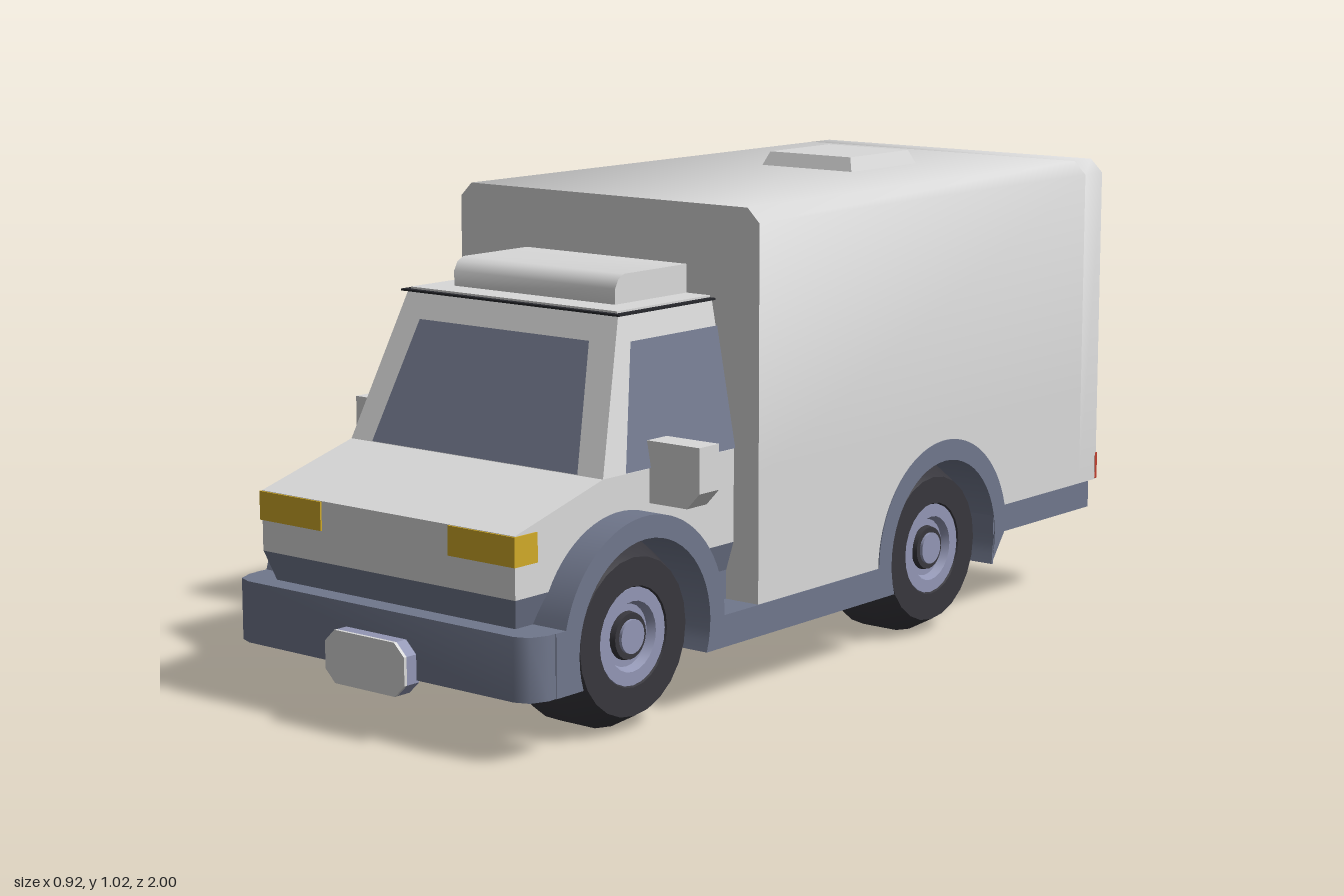
import * as THREE from 'three';
import { toCreasedNormals } from 'three/addons/utils/BufferGeometryUtils.js';

const mat = (name, color, double = false) => {
  const m = new THREE.MeshStandardMaterial({ color });
  m.name = name;
  if (double) m.side = THREE.DoubleSide;
  return m;
};

export function createModel() {
  const model = new THREE.Group();
  model.name = 'boxVan';
  const body = mat('bodyGrey', 0xd9d9d9);
  const trim = mat('trimBlueGrey', 0x70778c);
  const glass = mat('glassBlueGrey', 0x747b90, true);
  const rubber = mat('tyreBlack', 0x38373d);
  const metal = mat('hubLavender', 0x9296b4);
  const black = mat('gasketBlack', 0x25262b);
  const amber = mat('lampAmber', 0xd0aa28);
  const red = mat('lampRed', 0xc0402f);

  const add = (name, geo, material, parent = model) => {
    const mesh = new THREE.Mesh(geo, material);
    mesh.name = name;
    parent.add(mesh);
    return mesh;
  };
  const poly = (pts) => new THREE.Shape(pts.map((p) => new THREE.Vector2(...p)));
  const extrude = (shape, depth) =>
    new THREE.ExtrudeGeometry(shape, { depth, bevelEnabled: false, curveSegments: 16 });
  // side outline (z, y) swept from x0 to x1
  const alongX = (shape, x0, x1) =>
    extrude(shape, x1 - x0).rotateY(-Math.PI / 2).translate(x1, 0, 0);
  // front outline (x, y) swept from z0 to z1
  const alongZ = (shape, z0, z1) => extrude(shape, z1 - z0).translate(0, 0, z0);
  // plan outline (x, z) swept from y0 to y1
  const alongY = (pts, y0, y1) =>
    extrude(poly(pts.map(([x, z]) => [x, -z])), y1 - y0).rotateX(-Math.PI / 2).translate(0, y0, 0);
  const box = (x0, x1, y0, y1, z0, z1) =>
    new THREE.BoxGeometry(x1 - x0, y1 - y0, z1 - z0)
      .translate((x0 + x1) / 2, (y0 + y1) / 2, (z0 + z1) / 2);
  // tapered block; each end is [y, halfWidth, backZ, frontZ]
  const taper = (low, high) => {
    const geo = new THREE.BoxGeometry(2, 2, 2);
    const p = geo.attributes.position;
    for (let i = 0; i < p.count; i++) {
      const [y, w, zb, zf] = p.getY(i) > 0 ? high : low;
      p.setXYZ(i, p.getX(i) * w, y, p.getZ(i) > 0 ? zf : zb);
    }
    geo.computeVertexNormals();
    return geo;
  };
  const quad = (pts) => {
    const geo = new THREE.BufferGeometry().setFromPoints(pts.map((p) => new THREE.Vector3(...p)));
    geo.setIndex([0, 1, 2, 0, 2, 3]);
    geo.computeVertexNormals();
    return geo;
  };

  const axles = [0.64, -0.36];
  const hubY = 0.19;
  // clockwise wheel cut-out starting and ending at height y
  const notch = (s, z, r, y) => {
    const a = Math.asin((y - hubY) / r);
    s.lineTo(z - r * Math.cos(a), y);
    s.absarc(z, hubY, r, Math.PI - a, a, true);
  };

  // Chassis: fenders with arches, core, bumper and tail
  const fender = new THREE.Shape();
  fender.moveTo(-0.55, 0.125);
  notch(fender, -0.36, 0.195, 0.125);
  notch(fender, 0.64, 0.195, 0.125);
  fender.lineTo(0.9, 0.125);
  fender.lineTo(0.9, 0.25);
  fender.lineTo(0.872, 0.25);
  fender.absarc(0.64, hubY, 0.24, 0.2527, Math.PI, false);
  fender.absarc(-0.36, hubY, 0.24, 0, Math.PI - 0.2527, false);
  fender.lineTo(-0.592, 0.19);
  fender.lineTo(-0.55, 0.19);
  add('leftFenders', toCreasedNormals(alongX(fender, 0.185, 0.402), 0.6), trim);
  add('rightFenders', toCreasedNormals(alongX(fender, -0.402, -0.185), 0.6), trim);
  add('chassisCore', box(-0.19, 0.19, 0.125, 0.4, -0.55, 0.87), trim);
  add('frontBumper', toCreasedNormals(alongY([[-0.4, 0.87], [0.4, 0.87], [0.4, 0.92],
    [0.385, 0.955], [0.355, 0.967], [-0.355, 0.967], [-0.385, 0.955], [-0.4, 0.92]], 0.125, 0.25), 0.8), trim);
  add('rearBumper', alongY([[-0.4, -0.55], [-0.4, -0.94], [-0.37, -0.972],
    [0.37, -0.972], [0.4, -0.94], [0.4, -0.55]], 0.19, 0.25), trim);

  // Cargo box: notched lower half, bevelled upper half, open rear frame
  const lower = new THREE.Shape();
  lower.moveTo(-0.9, 0.25);
  notch(lower, -0.36, 0.21, 0.25);
  lower.lineTo(-0.15, 0.187);
  lower.lineTo(0.29, 0.187);
  lower.lineTo(0.29, 0.45);
  lower.lineTo(-0.9, 0.45);
  add('cargoLower', alongX(lower, -0.4, 0.4), body);
  const section = (y) => poly([[-0.4, y], [0.4, y], [0.4, 0.957], [0.37, 0.986], [-0.37, 0.986], [-0.4, 0.957]]);
  add('cargoUpper', toCreasedNormals(alongZ(section(0.45), -0.9, 0.29), 0.9), body);
  const frame = section(0.25);
  frame.holes.push(poly([[-0.345, 0.33], [-0.345, 0.925], [0.345, 0.925], [0.345, 0.33]]));
  add('rearFrame', toCreasedNormals(alongZ(frame, -0.97, -0.9), 0.9), body);
  add('roofHatch', taper([0.985, 0.123, -0.633, -0.39], [1.016, 0.11, -0.62, -0.403]), body);

  // Roller door with ridged slats
  const slats = [[-0.89, 0.33]];
  const count = 5, pitch = 0.595 / count;
  slats.push([-0.89, 0.925]);
  for (let i = count; i > 0; i--) {
    slats.push([-0.91, 0.33 + i * pitch], [-0.945, 0.33 + (i - 0.5) * pitch]);
  }
  slats.push([-0.91, 0.33]);
  add('rollerDoor', alongX(poly(slats.reverse()), -0.345, 0.345), trim);
  add('doorHandle', box(-0.065, 0.065, 0.385, 0.415, -0.965, -0.93), body);

  // Cab: hull with wheel cut-out, greenhouse, roof and air deflector
  const hull = new THREE.Shape();
  hull.moveTo(0.29, 0.31);
  notch(hull, 0.64, 0.21, 0.31);
  [[0.94, 0.31], [0.94, 0.432], [0.69, 0.5], [0.29, 0.5]].forEach((p) => hull.lineTo(...p));
  add('cabHull', alongX(hull, -0.337, 0.337), body);
  add('cabUpper', taper([0.5, 0.337, 0.29, 0.69], [0.797, 0.28, 0.29, 0.577]), body);
  add('roofGasket', box(-0.29, 0.29, 0.796, 0.8, 0.285, 0.588), black);
  add('cabRoof', box(-0.275, 0.275, 0.797, 0.804, 0.285, 0.575), body);
  const deflector = poly([[0.28, 0.8], [0.51, 0.8], [0.51, 0.835], [0.5, 0.853], [0.482, 0.862], [0.28, 0.862]]);
  add('airDeflector', toCreasedNormals(alongX(deflector, -0.215, 0.215), 0.9), body);
  add('frontValance', taper([0.245, 0.318, 0.85, 0.92], [0.311, 0.337, 0.85, 0.94]), trim);
  add('cabSill', taper([0.25, 0.318, 0.28, 0.42], [0.311, 0.337, 0.28, 0.45]), trim);
  add('cabStep', box(-0.318, 0.318, 0.18, 0.25, 0.28, 0.42), trim);

  // Glazing, just proud of the sloping cab panels
  const screenZ = (y) => 0.694 - ((y - 0.5) / 0.297) * 0.113;
  const sideX = (y) => 0.341 - ((y - 0.5) / 0.297) * 0.057;
  add('windscreen', quad([[-0.275, 0.502, screenZ(0.502)], [0.275, 0.502, screenZ(0.502)],
    [0.226, 0.745, screenZ(0.745)], [-0.226, 0.745, screenZ(0.745)]]), glass);

  // Mirrored details
  for (const s of [1, -1]) {
    const side = s > 0 ? 'left' : 'right';
    const span = (a, b) => (s > 0 ? [a, b] : [-b, -a]);
    const x0 = s * sideX(0.502), x1 = s * sideX(0.745);
    const win = [[x0, 0.502, 0.627], [x0, 0.502, 0.29], [x1, 0.745, 0.29], [x1, 0.745, 0.557]];
    add(side + 'Window', quad(s > 0 ? win : win.reverse()), glass);
    const mirror = [[0.32, 0.432], [0.43, 0.432], [0.461, 0.465], [0.461, 0.555], [0.32, 0.555]];
    add(side + 'Mirror', alongZ(poly(mirror.map(([x, y]) => [s * x, y])), 0.492, 0.552), body);
    add(side + 'Headlamp', box(...span(0.17, 0.34), 0.373, 0.431, 0.88, 0.944), amber);
    add(side + 'TailLamp', box(...span(0.28, 0.401), 0.252, 0.312, -0.974, -0.966), red);
    add(side + 'UnderPad', box(...span(0.095, 0.195), 0.12, 0.13, 0.4, 0.5), black);
  }

  // Bumper plates with a pale face
  const plate = poly([[-0.08, -0.053], [0.08, -0.053], [0.106, -0.028], [0.106, 0.028],
    [0.08, 0.053], [-0.08, 0.053], [-0.106, 0.028], [-0.106, -0.028]]);
  for (const [name, y, z, face] of [['front', 0.148, 0.96, 0.993], ['rear', 0.213, -0.993, -1]]) {
    add(name + 'PlateMount', alongZ(plate, z, z + 0.033).translate(0, y, 0), metal);
    add(name + 'Plate', alongZ(plate, face, face + 0.007).translate(0, y, 0), body);
  }

  // Wheels: lathed tyre and stepped hub, turned onto the x axis
  const lathe = (pts) => toCreasedNormals(
    new THREE.LatheGeometry(pts.map((p) => new THREE.Vector2(...p)), 24).rotateZ(-Math.PI / 2), 0.6);
  const tyre = lathe([[0, 0.185], [0.157, 0.185], [0.188, 0.225], [0.188, 0.312], [0.157, 0.37], [0.1, 0.37], [0.09, 0.345], [0, 0.345]]);
  const rim = lathe([[0.097, 0.34], [0.097, 0.367], [0.07, 0.367], [0.062, 0.35], [0, 0.35]]);
  const cup = lathe([[0.05, 0.34], [0.046, 0.362], [0.036, 0.362], [0, 0.355]]);
  const cap = lathe([[0.034, 0.34], [0.034, 0.368], [0, 0.368]]);
  for (const z of axles) {
    for (const s of [1, -1]) {
      const wheel = new THREE.Group();
      wheel.name = (z > 0 ? 'front' : 'rear') + (s > 0 ? 'Left' : 'Right') + 'Wheel';
      add('tyre', tyre, rubber, wheel);
      add('rim', rim, metal, wheel);
      add('hubRing', cup, rubber, wheel);
      add('hubCap', cap, metal, wheel);
      wheel.position.set(0, 0.188, z);
      if (s < 0) wheel.rotation.y = Math.PI;
      model.add(wheel);
    }
  }
  return model;
}
